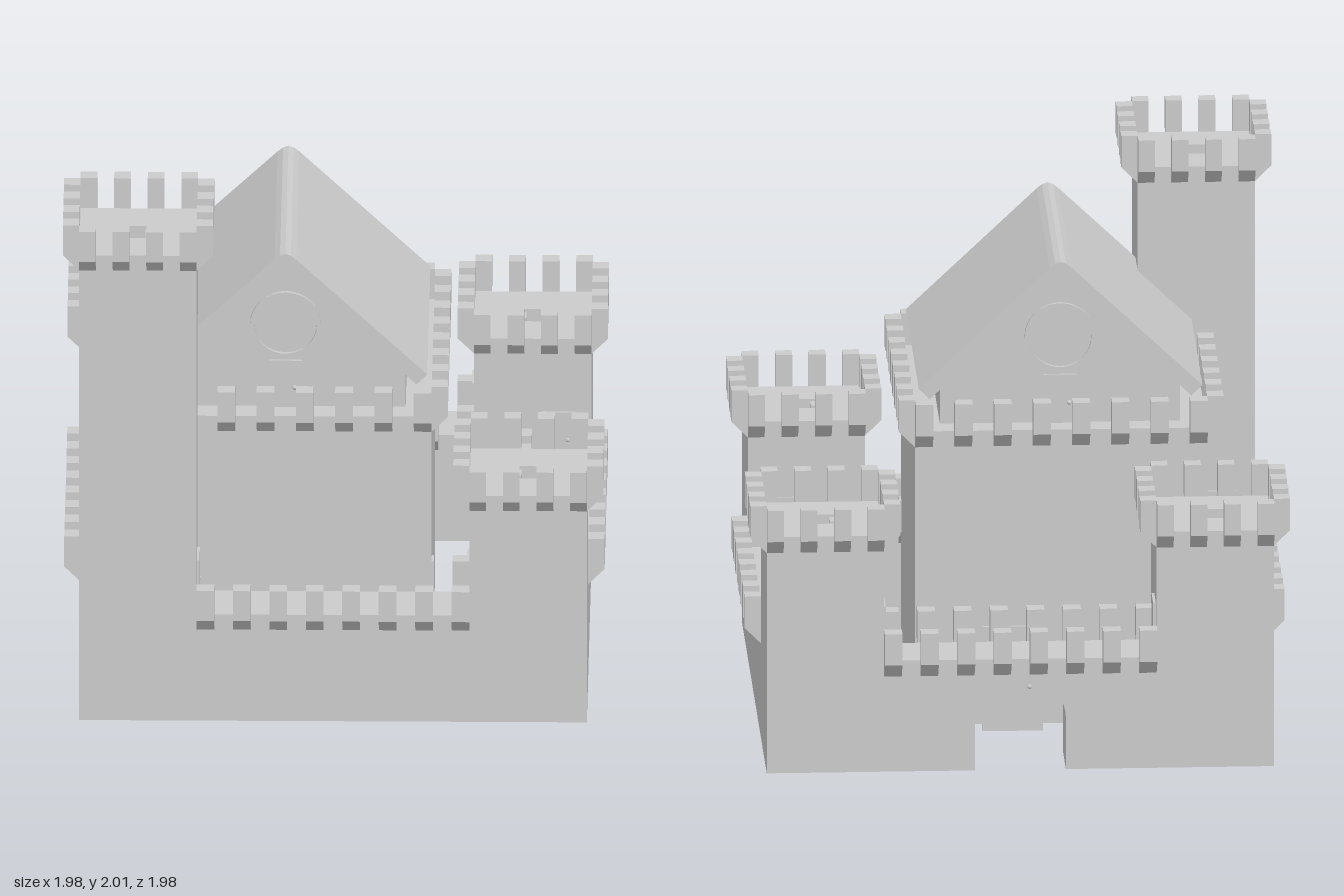
import * as THREE from 'three';

const OUT = 0.93, IN = 0.5, WALL_IN = 0.712, BASE = 0.025;
const WALL_TOP = 0.45, KEEP_TOP = 1.15, LOW = 0.93, TALL = 1.885;
const KX = -0.1775, KZ = 0.1775, KH = 0.536; // keep centre and half width

const mat = new THREE.MeshStandardMaterial({ color: 0xcccccc, flatShading: true, side: THREE.DoubleSide });

function add(parent, geo, name, x = 0, y = 0, z = 0, ry = 0) {
  const m = new THREE.Mesh(geo, mat);
  m.name = name;
  m.position.set(x, y, z);
  m.rotation.y = ry;
  parent.add(m);
  return m;
}

// box geometry given by its limits
function boxGeo(x0, x1, y0, y1, z0, z1) {
  return new THREE.BoxGeometry(x1 - x0, y1 - y0, z1 - z0)
    .translate((x0 + x1) / 2, (y0 + y1) / 2, (z0 + z1) / 2);
}

// drops the triangles lying flat at any of the given heights
function openAt(geo, ...levels) {
  const p = (geo.index ? geo.toNonIndexed() : geo).attributes.position;
  const kept = [];
  for (let i = 0; i < p.count; i += 3) {
    const flat = levels.some(l => [0, 1, 2].every(k => Math.abs(p.getY(i + k) - l) < 1e-4));
    if (!flat) for (let k = 0; k < 3; k++) kept.push(p.getX(i + k), p.getY(i + k), p.getZ(i + k));
  }
  const g = new THREE.BufferGeometry();
  g.setAttribute('position', new THREE.Float32BufferAttribute(kept, 3));
  g.computeVertexNormals();
  return g;
}

const outline = pts => pts.map(p => new THREE.Vector2(p[0], p[1]));

// outline extruded along z, centred on z = 0
function prism(points, depth) {
  return new THREE.ExtrudeGeometry(new THREE.Shape(outline(points)), { depth, bevelEnabled: false })
    .translate(0, 0, -depth / 2);
}

// row of corbelled merlons along one edge; they project along the +x of the turned row
function merlonRow(parent, cx, cz, dist, half, y, angle, count, w) {
  const geo = prism([[0, -0.06], [0.06, 0], [0.06, 0.12], [0, 0.12]], w);
  const c = Math.cos(angle), s = Math.sin(angle);
  for (let i = 0; i < count; i++) {
    const t = (half - w / 2) * (2 * i / (count - 1) - 1);
    add(parent, geo, 'merlon', cx + c * dist + s * t, y, cz - s * dist + c * t, angle);
  }
}

function battlement(parent, cx, cz, half, y, count, w) {
  for (let k = 0; k < 4; k++) merlonRow(parent, cx, cz, half, half, y, k * Math.PI / 2, count, w);
}

// door leaf with knob, facing +x of its turned group
function door(parent, x, y, z, angle, w, h) {
  const g = new THREE.Group();
  g.name = 'door';
  g.position.set(x, y, z);
  g.rotation.y = angle;
  add(g, boxGeo(-0.005, 0.01, 0, h, -w / 2, w / 2), 'doorLeaf');
  add(g, new THREE.SphereGeometry(0.01, 8, 6), 'doorKnob', 0.006, h * 0.42, -w * 0.28);
  parent.add(g);
}

function tower(sx, sz, top) {
  const g = new THREE.Group();
  g.name = 'cornerTower';
  const c = (OUT + IN) / 2, cx = sx * c, cz = sz * c, h = (OUT - IN) / 2;
  add(g, openAt(boxGeo(cx - h, cx + h, BASE, top, cz - h, cz + h), BASE, top), 'towerBody');
  battlement(g, cx, cz, h, top, 4, 0.061);
  // roof floor with a sunken hatch, notched on its inner side
  const floor = new THREE.Shape(outline([[-h, -h], [h, -h], [h, h], [-h, h]]));
  const a = 0.056, n = 0.028;
  floor.holes.push(new THREE.Path(outline([[a, -a], [-a, -a], [-a, -n], [-a + 0.03, -n],
    [-a + 0.03, n], [-a, n], [-a, a], [a, a]])));
  const depth = 0.05;
  const floorGeo = new THREE.ExtrudeGeometry(floor, { depth, bevelEnabled: false }).rotateX(-Math.PI / 2);
  add(g, floorGeo, 'towerFloor', cx, top - depth, cz, sx > 0 ? 0 : Math.PI);
  add(g, new THREE.PlaneGeometry(0.13, 0.13).rotateX(-Math.PI / 2), 'hatchFloor', cx, top - depth, cz);
  // doors to both wall walks
  const walk = 0.81;
  door(g, sx * IN, WALL_TOP, sz * walk, sx > 0 ? Math.PI : 0, 0.12, 0.19);
  door(g, sx * walk, WALL_TOP, sz * IN, sz > 0 ? Math.PI / 2 : -Math.PI / 2, 0.12, 0.19);
  return g;
}

function walls() {
  const g = new THREE.Group();
  g.name = 'curtainWalls';
  add(g, openAt(boxGeo(-IN, IN, BASE, WALL_TOP, WALL_IN, OUT), BASE), 'frontWall');
  add(g, openAt(boxGeo(WALL_IN, OUT, BASE, WALL_TOP, -IN, IN), BASE), 'leftWall');
  add(g, openAt(boxGeo(-OUT, -WALL_IN, BASE, WALL_TOP, -IN, IN), BASE), 'rightWall');
  // back wall with arched gateway
  const r = 0.167, spring = 0.22;
  const s = new THREE.Shape();
  s.moveTo(-IN, BASE);
  s.lineTo(-r, BASE);
  s.lineTo(-r, spring);
  s.absarc(0, spring, r, Math.PI, 0, true);
  s.lineTo(r, BASE);
  s.lineTo(IN, BASE);
  s.lineTo(IN, WALL_TOP);
  s.lineTo(-IN, WALL_TOP);
  const geo = new THREE.ExtrudeGeometry(s, { depth: OUT - WALL_IN, bevelEnabled: false, curveSegments: 16 });
  add(g, openAt(geo, BASE), 'gateWall', 0, 0, -OUT);
  // merlons on the outer and inner edges
  for (let k = 0; k < 4; k++) {
    for (const dist of [OUT, -WALL_IN]) merlonRow(g, 0, 0, dist, IN, WALL_TOP, k * Math.PI / 2, 8, 0.065);
  }
  return g;
}

function keep() {
  const g = new THREE.Group();
  g.name = 'keep';
  add(g, openAt(boxGeo(KX - KH, KX + KH, BASE, KEEP_TOP, KZ - KH, KZ + KH), BASE), 'keepBody');
  battlement(g, KX, KZ, KH, KEEP_TOP, 8, 0.065);
  door(g, 0, 0, KZ - KH, Math.PI / 2, 0.22, 0.4);

  // gabled hall and roof
  add(g, prism([[-0.44, KEEP_TOP], [0.44, KEEP_TOP], [0.44, 1.3], [0, 1.72], [-0.44, 1.3]], 0.885),
    'hall', KX, 0, KZ);
  add(g, prism([[0.52, 1.3], [0.04, 1.757], [0.02, 1.773], [0, 1.78], [-0.02, 1.773], [-0.04, 1.757],
    [-0.52, 1.3], [-0.48, 1.26], [0, 1.72], [0.48, 1.26]], 0.985), 'roof', KX, 0, KZ);

  // round window frame and door on each gable
  const ring = new THREE.Shape().absarc(0, 0, 0.13, 0, Math.PI * 2);
  ring.holes.push(new THREE.Path().absarc(0, 0, 0.115, 0, Math.PI * 2, true));
  const ringGeo = new THREE.ExtrudeGeometry(ring, { depth: 0.03, bevelEnabled: false, curveSegments: 16 })
    .translate(0, 0, -0.015);
  for (const s of [-1, 1]) {
    const z = KZ + s * 0.4425;
    add(g, ringGeo, 'windowFrame', KX, 1.48, z);
    door(g, KX, KEEP_TOP, z, -s * Math.PI / 2, 0.12, 0.185);
  }
  return g;
}

export function createModel() {
  const castle = new THREE.Group();
  castle.name = 'castle';
  castle.add(walls(), keep());
  for (const sx of [-1, 1]) for (const sz of [-1, 1])
    castle.add(tower(sx, sz, sx < 0 && sz > 0 ? TALL : LOW));
  return castle;
}
